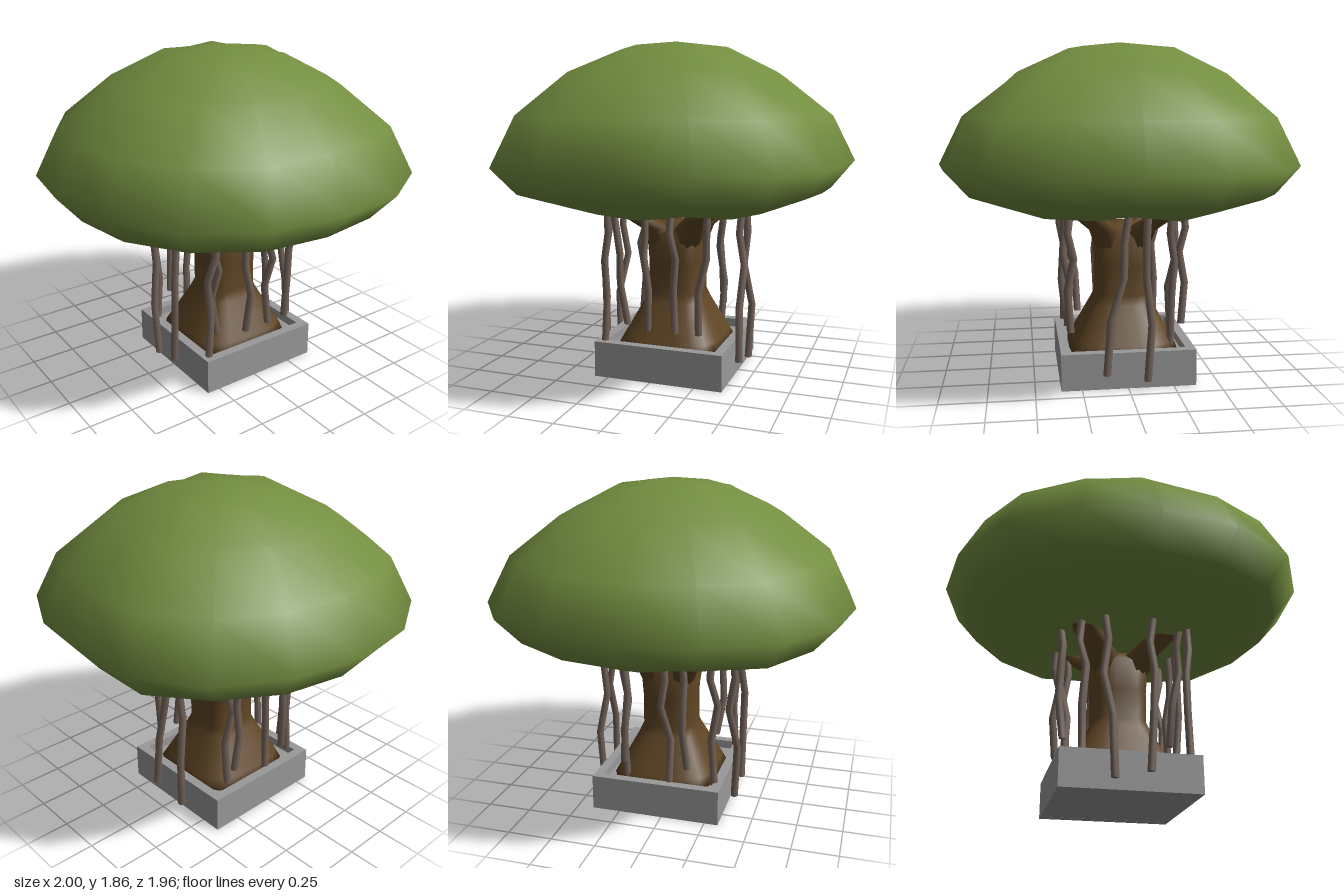
import * as THREE from 'three';
import { mergeVertices } from 'three/addons/utils/BufferGeometryUtils.js';

const mat = (name, color) => Object.assign(new THREE.MeshStandardMaterial({ color }), { name });

function smooth(geo) {
  geo.deleteAttribute('uv');
  geo.deleteAttribute('normal');
  const merged = mergeVertices(geo, 1e-4);
  merged.computeVertexNormals();
  return merged;
}

// Tube of level rings through [x, y, z, radius] points listed from top to bottom.
// power 2 gives round rings, higher powers give rounded squares.
function ringTube(points, sides, power = 2) {
  const n = points.length - 1;
  const geo = new THREE.CylinderGeometry(1, 1, 1, sides, n);
  const p = geo.attributes.position;
  for (let i = 0; i < p.count; i++) {
    const [x, y, z, r] = points[Math.round((0.5 - p.getY(i)) * n)];
    const a = p.getX(i), b = p.getZ(i);
    const d = Math.hypot(a, b);
    const k = d < 0.01 ? 0 : r / Math.pow(Math.abs(a) ** power + Math.abs(b) ** power, 1 / power);
    p.setXYZ(i, x + a * k, y, z + b * k);
  }
  return smooth(geo);
}

// Canopy: a lathed dome whose sixteen sides are pushed in and out
function canopyGeometry() {
  const reach = [1.01, 1.03, 1.06, 1.02, 1, 1.02, 1.04, 0.98, 0.95, 1.03, 1.03, 1, 1, 1.02, 1.05, 1.03];
  const profile = [[0, 0.9], [0.28, 0.91], [0.6, 0.95], [0.87, 1.04], [1, 1.19],
    [0.87, 1.45], [0.6, 1.67], [0.31, 1.81], [0, 1.855]].map(([r, y]) => new THREE.Vector2(r, y));
  const geo = new THREE.LatheGeometry(profile, 16);
  const p = geo.attributes.position;
  for (let i = 0; i < p.count; i++) {
    const side = Math.floor(i / profile.length) % 16;
    const s = profile[i % profile.length].x;
    const x = p.getX(i) * reach[side], z = p.getZ(i) * reach[side];
    const wobble = s * (1 - s) * 0.06 * Math.sin(side * 2.3 + s * 4);
    p.setXYZ(i, x, p.getY(i) + wobble, z - 0.03);
  }
  return smooth(geo);
}

// Crooked root from a top (x, z) to a bottom (x, z) at a given height
function rootGeometry([x0, z0, x1, z1, bottom], seed) {
  const points = [0, 0.2, 0.4, 0.66, 1].map((t, k) => {
    const kink = 0.09 * t * (1 - t);
    return [
      THREE.MathUtils.lerp(x0, x1, t) + kink * Math.sin(seed * 2.4 + k * 2.2),
      THREE.MathUtils.lerp(0.97, bottom, t),
      THREE.MathUtils.lerp(z0, z1, t) + kink * Math.sin(seed * 1.7 + k * 2.5),
      0.021,
    ];
  });
  return ringTube(points, 8);
}

export function createModel() {
  const group = new THREE.Group();
  const leaf = mat('leafGreen', 0x738e40);
  const bark = mat('barkBrown', 0x5f4524);
  const rootBrown = mat('rootGreyBrown', 0x74645a);
  const stone = mat('stoneGrey', 0x999999);
  const add = (name, geo, material) => {
    const mesh = new THREE.Mesh(geo, material);
    mesh.name = name;
    group.add(mesh);
    return mesh;
  };
  const cx = -0.005, cz = -0.04;

  // Square planter with a sunken floor
  const square = (Type, h) => new Type([[-h, -h], [h, -h], [h, h], [-h, h]].map(([x, y]) => new THREE.Vector2(x, y)));
  const wall = square(THREE.Shape, 0.367);
  wall.holes.push(square(THREE.Path, 0.315));
  const wallGeo = new THREE.ExtrudeGeometry(wall, { depth: 0.2, bevelEnabled: false });
  wallGeo.rotateX(-Math.PI / 2);
  add('planterWall', wallGeo, stone).position.set(cx, 0, cz);
  add('planterFloor', new THREE.BoxGeometry(0.64, 0.15, 0.64), stone).position.set(cx, 0.0755, cz);

  // Flared trunk with a rounded-square section, as [height, radius]
  const trunk = [[0.85, 0.1], [0.79, 0.162], [0.62, 0.15], [0.45, 0.15],
    [0.4, 0.172], [0.3, 0.225], [0.2, 0.28], [0.14, 0.312]];
  add('trunk', ringTube(trunk.map(([y, r]) => [cx, y, cz, r]), 24, 3.8), bark);

  // Four branches spreading diagonally into the canopy, as [spread, height, radius]
  const branch = [[0.33, 1.03, 0.05], [0.22, 0.93, 0.08], [0.1, 0.82, 0.085], [0.07, 0.7, 0.075]];
  for (const sx of [-1, 1]) for (const sz of [-1, 1]) {
    add('branch', ringTube(branch.map(([d, y, r]) => [cx + sx * d, y, cz + sz * d, r]), 10), bark);
  }

  // Hanging roots: top x, top z, bottom x, bottom z, bottom height
  const roots = [
    // over the front and back of the planter
    [-0.16, 0.35, -0.1, 0.365, 0.05], [0.11, 0.36, 0.08, 0.37, 0.09],
    [-0.1, -0.42, -0.1, -0.44, 0.05], [0, -0.42, 0.12, -0.44, 0.09],
    // left side of the tree
    [0.29, 0.24, 0.23, 0.18, 0.28], [0.32, 0.26, 0.31, 0.285, 0.18], [0.33, 0.04, 0.31, 0.03, 0.28],
    [0.32, -0.11, 0.31, -0.13, 0.28], [0.31, -0.31, 0.3, -0.26, 0.28],
    // right side of the tree
    [-0.26, 0.26, -0.25, 0.28, 0.18], [-0.36, 0.11, -0.33, 0.14, 0.3], [-0.33, 0, -0.31, 0.03, 0.18],
    [-0.34, -0.2, -0.32, -0.23, 0.3], [-0.27, -0.23, -0.26, -0.23, 0.18],
  ];
  roots.forEach((root, i) => add('hangingRoot', rootGeometry(root, i), rootBrown));

  add('canopy', canopyGeometry(), leaf);
  return group;
}
